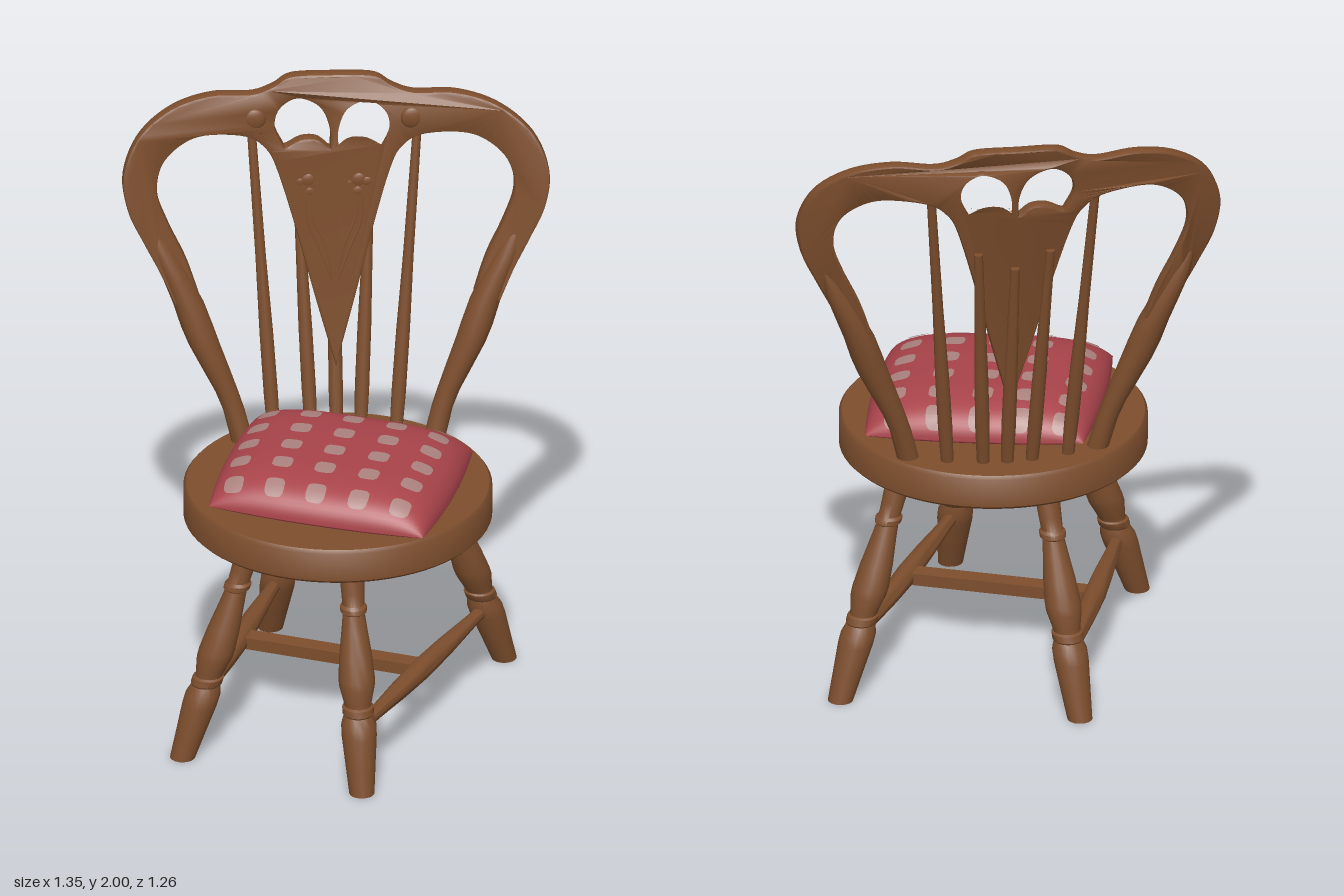
import * as THREE from 'three';
import { toCreasedNormals } from 'three/addons/utils/BufferGeometryUtils.js';

const wood = new THREE.MeshStandardMaterial({ color: 0x7d4e2d });
wood.name = 'brown wood';
const red = new THREE.MeshStandardMaterial({ color: 0xa8434a });
red.name = 'red cloth';
const pale = new THREE.MeshStandardMaterial({ color: 0xab827e });
pale.name = 'pale dots';

const V2 = (p) => new THREE.Vector2(p[0], p[1]);
const lerp = THREE.MathUtils.lerp;

function add(parent, name, geometry, material) {
  const mesh = new THREE.Mesh(geometry, material);
  mesh.name = name;
  parent.add(mesh);
  return mesh;
}

// Moves every vertex by a rule
function warp(geo, rule) {
  const p = geo.attributes.position;
  const v = new THREE.Vector3();
  for (let i = 0; i < p.count; i++) {
    rule(v.fromBufferAttribute(p, i));
    p.setXYZ(i, v.x, v.y, v.z);
  }
  geo.computeVertexNormals();
  return geo;
}

// Turned part: rows of [radius, y], its axis following centre(y) -> [x, z]
function turned(rows, centre, sides = 20) {
  const pts = [[0, rows[0][1]], ...rows, [0, rows[rows.length - 1][1]]].map(V2);
  const geo = warp(new THREE.LatheGeometry(pts, sides), (v) => {
    const [x, z] = centre(v.y);
    v.x += x;
    v.z += z;
  });
  return toCreasedNormals(geo, 0.7);
}

// Straight axis between two points [x, y, z]
const line = (a, b) => (y) => {
  const t = (y - a[1]) / (b[1] - a[1]);
  return [lerp(a[0], b[0], t), lerp(a[2], b[2], t)];
};

// Depth of the curved, leaning chair back
function backZ(x, y) {
  const bow = 0.24 + 0.7 * Math.max(0, 1.7 - y) ** 2;
  return -0.37 - 0.14 * (y - 0.9) + bow * x * x + 0.055 * x;
}

function smooth(points, n) {
  return new THREE.SplineCurve(points.map(V2)).getPoints(n);
}

// Pillow surface: plane coordinates (-1..1) to the top (s = 1) or underside (s = -1)
function pillow(geo, s, lift) {
  return warp(geo, (p) => {
    const u = THREE.MathUtils.clamp(p.x, -1, 1);
    const v = THREE.MathUtils.clamp(-s * p.y, -1, 1);
    const a = 0.35 * u * (1 + 0.06 * (1 - v * v));
    const b = 0.315 * v * (1 + 0.06 * (1 - u * u));
    const puff = Math.sqrt((1 - u ** 4) * (1 - v ** 4));
    const y = 0.845 - 0.012 * u + s * ((s > 0 ? 0.115 : 0.027) * puff + lift);
    p.set(-0.02 + 0.943 * a - 0.333 * b, y, 0.05 + 0.333 * a + 0.943 * b);
  });
}

function buildCushion() {
  const cushion = new THREE.Group();
  cushion.name = 'cushion';
  for (const s of [1, -1]) {
    const sheet = warp(new THREE.PlaneGeometry(2, 2, 40, 40), (p) => {
      p.x = Math.sin(p.x * Math.PI / 2);
      p.y = Math.sin(p.y * Math.PI / 2);
    });
    add(cushion, s > 0 ? 'cushionTop' : 'cushionUnderside', pillow(sheet, s, 0), red);
    for (const v of [-0.89, -0.6, -0.25, 0.11, 0.47, 0.83]) {
      for (const u of [-0.79, -0.41, -0.03, 0.36, 0.74]) {
        // Rounded square dot laid on the cloth
        const dot = warp(new THREE.RingGeometry(0, 1, 20, 4), (p) => {
          const k = Math.hypot(p.x ** 2, p.y ** 2);
          const grow = k > 0 ? Math.hypot(p.x, p.y) / Math.sqrt(k) : 1;
          p.x = u + p.x * grow * 0.088;
          p.y = -s * v + p.y * grow * 0.095;
        });
        add(cushion, 'dot', pillow(dot, s, 0.004), pale);
      }
    }
  }
  return cushion;
}

function buildBase() {
  const base = new THREE.Group();
  base.name = 'base';
  add(base, 'seat', turned([[0.48, 0.7], [0.49, 0.71], [0.49, 0.806], [0.481, 0.817]],
    () => [-0.027, 0.013], 72), wood);

  // Splayed turned legs: foot x, z and top x, z
  const legs = [[0, 0.59, -0.015, 0.385], [-0.545, 0.29, -0.325, 0.215],
    [-0.19, -0.59, -0.125, -0.37], [0.53, -0.315, 0.315, -0.185]]
    .map(([fx, fz, tx, tz]) => line([fx, 0, fz], [tx, 0.7, tz]));
  const legRows = [[0.04, 0], [0.047, 0.08], [0.056, 0.18], [0.056, 0.215], [0.046, 0.245],
    [0.05, 0.25], [0.05, 0.27], [0.043, 0.275], [0.046, 0.29], [0.057, 0.335], [0.058, 0.36],
    [0.052, 0.43], [0.041, 0.51], [0.035, 0.56], [0.042, 0.565], [0.043, 0.58],
    [0.035, 0.588], [0.037, 0.63], [0.042, 0.72]];
  for (const leg of legs) add(base, 'leg', turned(legRows, leg), wood);

  // Two side stretchers and the flat bar between them
  const y = 0.2;
  const at = (leg) => new THREE.Vector3(leg(y)[0], y, leg(y)[1]);
  const mids = [[0, 3], [1, 2]].map(([i, j]) => {
    const a = at(legs[i]), b = at(legs[j]), half = a.distanceTo(b) / 2;
    const rows = [[0.02, -1], [0.022, -0.75], [0.031, -0.35], [0.035, 0], [0.031, 0.35],
      [0.022, 0.75], [0.02, 1]].map(([r, t]) => [r, t * half]);
    const rail = add(base, 'sideStretcher', turned(rows, () => [0, 0]), wood);
    const mid = a.clone().lerp(b, 0.5);
    rail.position.copy(mid);
    rail.quaternion.setFromUnitVectors(new THREE.Vector3(0, 1, 0), b.sub(a).normalize());
    return mid;
  });
  const bar = add(base, 'crossStretcher',
    new THREE.BoxGeometry(0.06, 0.04, mids[0].distanceTo(mids[1])), wood);
  bar.position.copy(mids[0]).lerp(mids[1], 0.5);
  bar.lookAt(mids[0]);
  return base;
}

function buildBack() {
  const back = new THREE.Group();
  back.name = 'back';

  // Hoop and pointed splat in one outline, drawn for one half and mirrored
  const outer = smooth([[0, 2], [0.13, 1.997], [0.19, 1.965], [0.26, 1.945], [0.39, 1.952],
    [0.52, 1.92], [0.625, 1.84], [0.675, 1.72], [0.66, 1.6], [0.61, 1.49], [0.56, 1.39],
    [0.515, 1.285]], 60);
  const inner = smooth([[0.435, 1.3], [0.475, 1.42], [0.53, 1.54], [0.565, 1.645],
    [0.55, 1.735], [0.49, 1.795], [0.41, 1.82], [0.28, 1.805], [0.215, 1.76], [0.18, 1.69],
    [0.13, 1.52], [0.06, 1.25], [0, 1.03]], 70);
  const half = [...outer, ...inner];
  const mirrored = half.slice(1, -1).reverse().map((p) => new THREE.Vector2(-p.x, p.y));
  const shape = new THREE.Shape([...half, ...mirrored]);

  // Two lobed openings above the splat
  const lobe = [...smooth([[0.01, 1.755], [0.01, 1.82], [0.04, 1.89], [0.11, 1.922],
    [0.168, 1.89], [0.185, 1.83], [0.155, 1.762]], 30),
  ...smooth([[0.145, 1.765], [0.1, 1.787], [0.05, 1.785], [0.015, 1.757]], 10)];
  for (const s of [1, -1]) {
    shape.holes.push(new THREE.Path(lobe.map((p) => new THREE.Vector2(s * p.x, p.y))));
  }
  const frame = new THREE.ExtrudeGeometry(shape, { depth: 0.026, bevelThickness: 0.009,
    bevelSize: 0.007, bevelOffset: -0.007, bevelSegments: 2 });
  warp(frame, (v) => { v.z += backZ(v.x, v.y) - 0.013; });
  add(back, 'hoopAndSplat', toCreasedNormals(frame, 0.6), wood);

  const front = (x, y, d = 0.02) => new THREE.Vector3(x, y, backZ(x, y) + d);
  const armPath = new THREE.SplineCurve([[0.3, 0.8], [0.34, 0.95], [0.425, 1.15],
    [0.478, 1.3], [0.535, 1.42], [0.585, 1.54]].map(V2)).getPoints(60);
  const armX = (y) => {
    const i = Math.max(1, armPath.findIndex((p) => p.y >= y - 1e-6));
    const a = armPath[i - 1], b = armPath[i];
    return lerp(a.x, b.x, (y - a.y) / (b.y - a.y));
  };
  const armRows = [[0.035, 0.8], [0.034, 0.92], [0.036, 0.98], [0.042, 1.05], [0.049, 1.14],
    [0.051, 1.2], [0.049, 1.28], [0.044, 1.36], [0.036, 1.45], [0.018, 1.53]];

  for (const s of [1, -1]) {
    add(back, 'armPost', turned(armRows, (y) => [s * armX(y), backZ(s * armX(y), y)]), wood);

    const knob = add(back, 'knob', new THREE.SphereGeometry(0.037, 20, 12), wood);
    knob.scale.z = 0.4;
    knob.position.copy(front(s * 0.25, 1.862));

    // Carved flower: petals, cup, stem and leaf
    for (const [x, y, r] of [[0.08, 1.65, 0.026], [0.052, 1.638, 0.018], [0.106, 1.645, 0.018],
      [0.076, 1.612, 0.02]]) {
      const petal = add(back, 'carvedPetal', new THREE.SphereGeometry(r, 12, 8), wood);
      petal.scale.z = 0.35;
      petal.position.copy(front(s * x, y));
    }
    const stems = [[[0.075, 1.61], [0.068, 1.53], [0.035, 1.45], [0.005, 1.33]],
      [[0.09, 1.6], [0.085, 1.52], [0.05, 1.43], [0.008, 1.32]],
      [[0.012, 1.53], [0.028, 1.47], [0.012, 1.41], [0.004, 1.33]]];
    for (const stem of stems) {
      const path = new THREE.CatmullRomCurve3(stem.map(([x, y]) => front(s * x, y)));
      add(back, 'carvedStem', new THREE.TubeGeometry(path, 16, 0.006, 6), wood);
    }
  }

  // Spindles: bottom x, top x, top y, offset behind the splat
  for (const [bx, tx, ty, d] of [[-0.2, -0.26, 1.84, 0], [0.185, 0.268, 1.84, 0],
    [-0.08, -0.112, 1.62, -0.03], [0.075, 0.118, 1.62, -0.03], [0, 0, 1.56, -0.03]]) {
    const axis = line([bx, 0.8, backZ(bx, 0.8)], [tx, ty, backZ(tx, ty) + d]);
    const rows = [[0.02, 0.8], [0.023, 0.95], [0.022, 1.15], [0.017, 1.4], [0.014, ty]];
    add(back, 'spindle', turned(rows, axis, 14), wood);
  }
  return back;
}

export function createModel() {
  const chair = new THREE.Group();
  chair.name = 'chair';
  chair.add(buildBase(), buildBack(), buildCushion());
  return chair;
}
